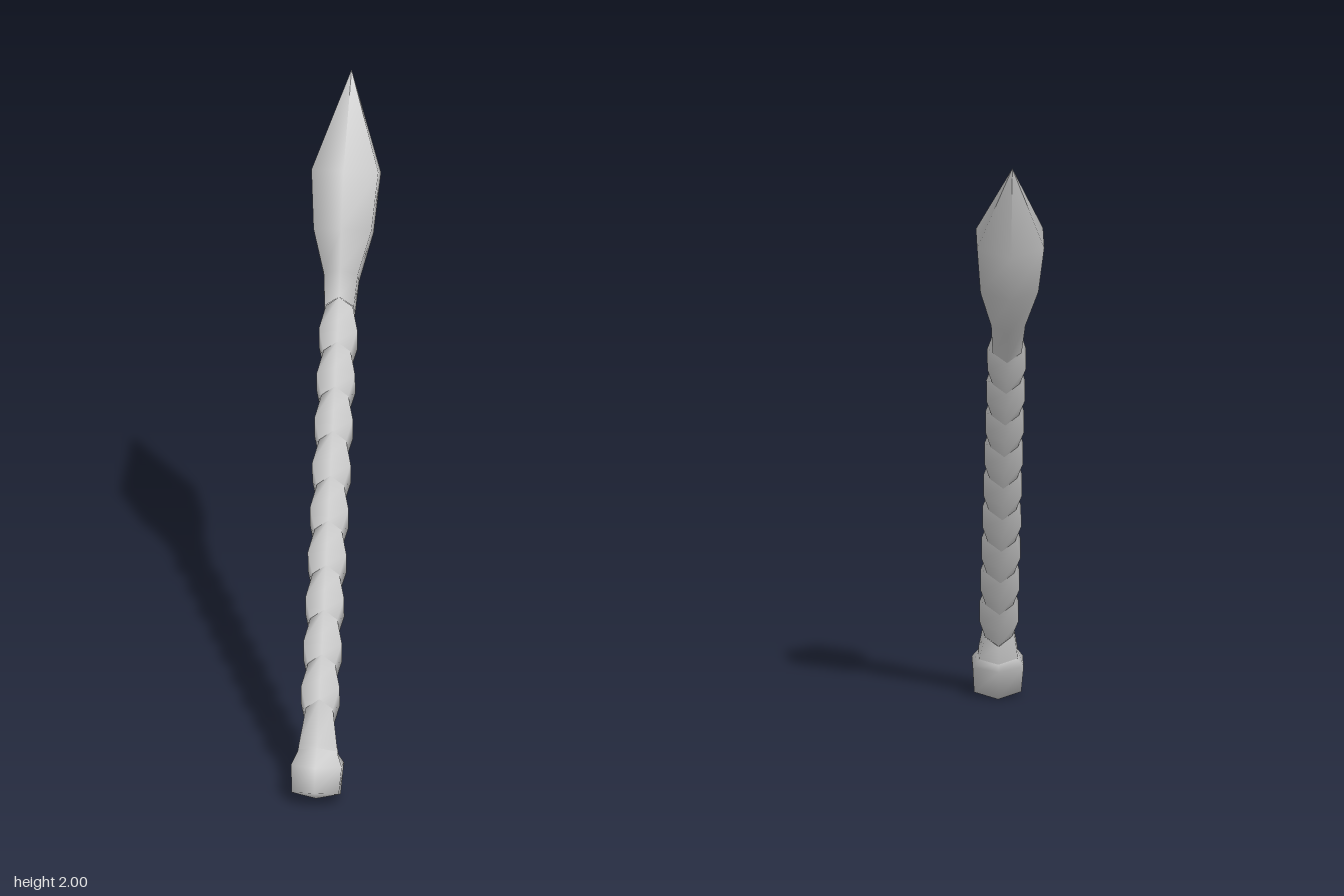
import * as THREE from 'three';

const SIDES = 6;
const material = new THREE.MeshStandardMaterial({ color: 0xcccccc, side: THREE.DoubleSide });

// Smooth six-sided loft along local y.
// Each ring: [height, front depth, back depth, half width, tilt]
function loft(name, rings) {
  const pos = [], index = [];
  for (const [s, front, back, w, tilt] of rings) {
    for (let k = 0; k < SIDES; k++) {
      const a = (k / SIDES) * Math.PI * 2;
      const c = Math.cos(a);
      pos.push((w * Math.sin(a)) / 0.866, s + tilt * c, (front + back) / 2 + ((front - back) / 2) * c);
    }
  }
  for (let i = 0; i < rings.length - 1; i++) {
    for (let k = 0; k < SIDES; k++) {
      const a = i * SIDES + k, b = i * SIDES + ((k + 1) % SIDES);
      index.push(a, b, b + SIDES, a, b + SIDES, a + SIDES);
    }
  }
  const g = new THREE.BufferGeometry();
  g.setAttribute('position', new THREE.Float32BufferAttribute(pos, 3));
  g.setIndex(index);
  g.computeVertexNormals();
  const mesh = new THREE.Mesh(g, material);
  mesh.name = name;
  return mesh;
}

export function createModel() {
  const model = new THREE.Group();
  model.name = 'leaningStaff';

  // The whole staff is built upright, then leaned back
  const staff = new THREE.Group();
  staff.name = 'staff';
  staff.position.z = 0.547;
  staff.rotation.x = -0.508;
  model.add(staff);

  // Shaft: a chain of slanted, bulging links
  const top = 1.527, step = 0.1386, links = 9, slant = 0.055;
  for (let i = 0; i < links; i++) {
    const s = top - (i + 1) * step;
    staff.add(loft('shaftLink', [
      [s, 0.033, -0.033, 0.042, slant],
      [s + step * 0.48, 0.037, -0.037, 0.06, slant],
      [s + step, 0.033, -0.033, 0.042, slant],
    ]));
  }

  // Flared neck between the shaft and the pommel
  const base = top - links * step;
  staff.add(loft('neck', [
    [0.12, 0.03, -0.07, 0.065, -0.01],
    [0.185, 0.026, -0.06, 0.06, 0.01],
    [base, 0.034, -0.034, 0.042, slant],
  ]));

  // Faceted pommel at the foot
  staff.add(loft('pommel', [
    [0.03, -0.02, -0.02, 0.0001, 0],
    [0.047, 0.05, -0.093, 0.073, -0.006],
    [0.138, 0.058, -0.08, 0.079, -0.02],
    [0.183, 0.022, -0.06, 0.056, 0.01],
  ]));

  // Bud-shaped head ending in a point
  staff.add(loft('head', [
    [top, 0.036, -0.036, 0.045, slant],
    [1.645, 0.049, -0.063, 0.053, 0.02],
    [1.79, 0.081, -0.083, 0.09, 0],
    [1.975, 0.102, -0.086, 0.104, -0.006],
    [2.29, 0, 0, 0.0001, 0],
  ]));

  return model;
}
